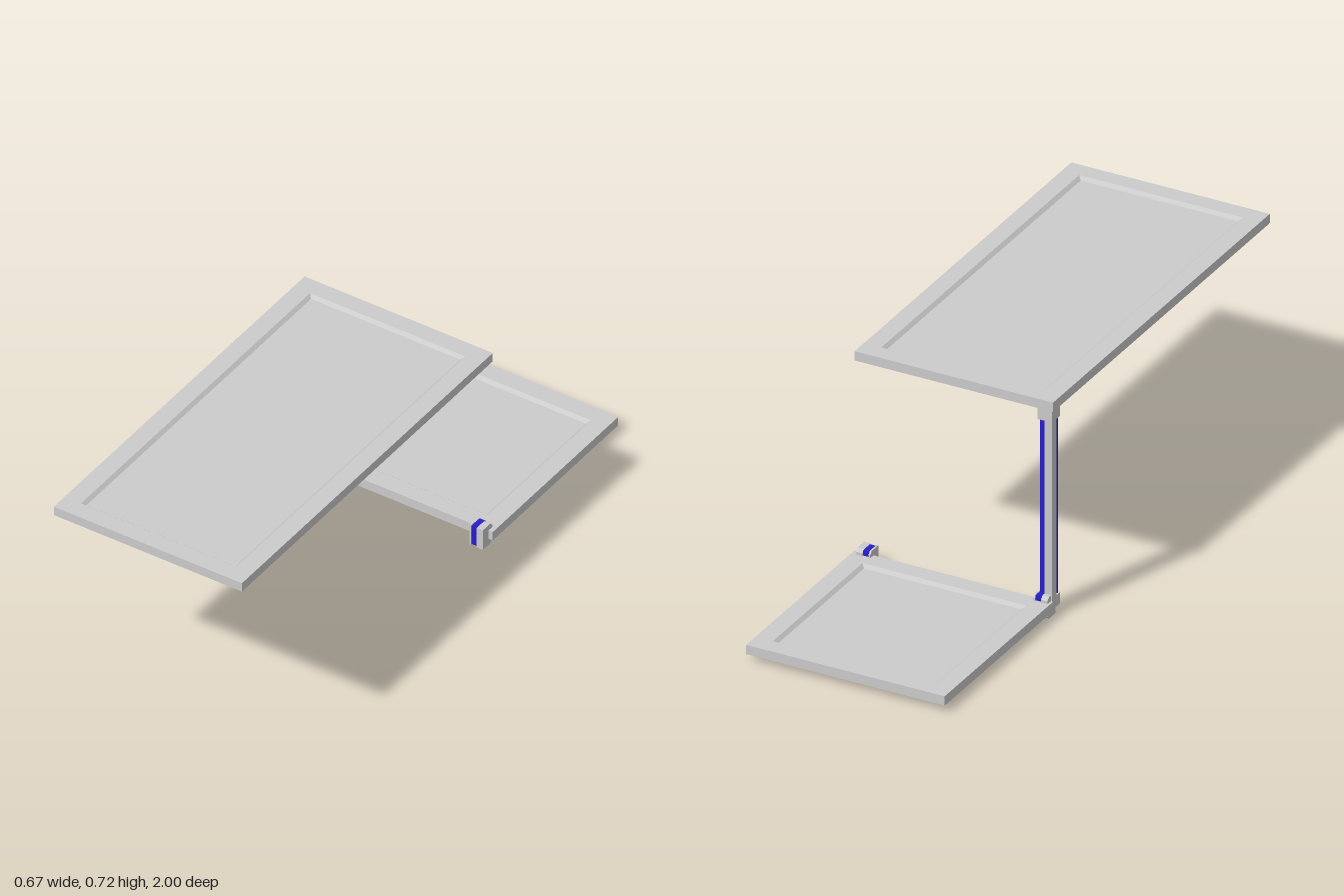
import * as THREE from 'three';

const grey = new THREE.MeshStandardMaterial({ color: 0xcccccc });
const blue = new THREE.MeshStandardMaterial({ color: 0x281ec8 });

// Box given by its low and high corners.
function box(name, [x0, y0, z0], [x1, y1, z1], material = grey) {
  const mesh = new THREE.Mesh(new THREE.BoxGeometry(x1 - x0, y1 - y0, z1 - z0), material);
  mesh.name = name;
  mesh.position.set((x0 + x1) / 2, (y0 + y1) / 2, (z0 + z1) / 2);
  return mesh;
}

// Slab with a shallow, slope-sided recess in its top and underside.
function panel(name, z0, z1, y0, y1) {
  const halfWidth = 0.333, rim = 0.058, slope = 0.011, depth = 0.01;
  const ring = (inset, y) => [
    [-halfWidth + inset, y, z1 - inset], [halfWidth - inset, y, z1 - inset],
    [halfWidth - inset, y, z0 + inset], [-halfWidth + inset, y, z0 + inset],
  ];
  // Rings run from the underside floor, around the outer edge, to the top floor.
  const rings = [
    ring(rim + slope, y0 + depth), ring(rim, y0), ring(0, y0),
    ring(0, y1), ring(rim, y1), ring(rim + slope, y1 - depth),
  ];
  const positions = [];
  const quad = (a, b, c, d) => [a, b, c, a, c, d].forEach((p) => positions.push(...p));
  for (let r = 0; r < rings.length - 1; r++) {
    for (let i = 0; i < 4; i++) {
      const j = (i + 1) % 4;
      quad(rings[r][i], rings[r][j], rings[r + 1][j], rings[r + 1][i]);
    }
  }
  quad(...rings[5]);
  quad(...[...rings[0]].reverse());
  const geometry = new THREE.BufferGeometry();
  geometry.setAttribute('position', new THREE.Float32BufferAttribute(positions, 3));
  geometry.computeVertexNormals();
  const mesh = new THREE.Mesh(geometry, grey);
  mesh.name = name;
  return mesh;
}

// Upright plate with chamfered rear corners, spanning x0 to x1.
function bracketPlate(name, x0, x1) {
  const front = -0.303, back = -0.353, top = 0.072, cut = 0.01;
  const shape = new THREE.Shape([
    [-front, 0], [-back - cut, 0], [-back, cut],
    [-back, top - cut], [-back - cut, top], [-front, top],
  ].map(([u, v]) => new THREE.Vector2(u, v)));
  const geometry = new THREE.ExtrudeGeometry(shape, { depth: x1 - x0, bevelEnabled: false });
  geometry.rotateY(Math.PI / 2);
  geometry.translate(x0, 0, 0);
  const mesh = new THREE.Mesh(geometry, grey);
  mesh.name = name;
  return mesh;
}

// Bracket gripping the lower panel: thin plate, coloured insert, thick plate.
function bracket(name, side, inner) {
  const group = new THREE.Group();
  group.name = name;
  const span = (a, b) => [side * (inner + a), side * (inner + b)].sort((p, q) => p - q);
  const [i0, i1] = span(0.006, 0.026);
  group.add(
    bracketPlate('innerPlate', ...span(0, 0.006)),
    box('bracketInsert', [i0, 0.003, -0.349], [i1, 0.07, -0.305], blue),
    bracketPlate('outerPlate', ...span(0.026, 0.048)),
  );
  return group;
}

// Post: square end blocks, two diagonal grey bars and two inset coloured bars.
function post() {
  const group = new THREE.Group();
  group.name = 'post';
  const x0 = -0.328, x1 = -0.279, z0 = -0.33, z1 = -0.28;
  const xm = -0.303, zm = -0.303, low = 0.06, high = 0.65, inset = 0.005;
  group.add(
    box('postFoot', [x0, 0.022, z0], [x1, low, z1]),
    box('postHead', [x0, high, z0], [x1, 0.689, z1]),
    box('frontBar', [xm, low, zm], [x1, high, z1]),
    box('rearBar', [x0, low, z0], [xm, high, zm]),
    box('frontInsert', [x0 + inset, low, zm], [xm, high, z1 - inset], blue),
    box('rearInsert', [xm, low, z0 + inset], [x1 - inset, high, zm], blue),
  );
  return group;
}

export function createModel() {
  const model = new THREE.Group();
  model.name = 'twoLevelPlatform';
  model.add(
    panel('upperPanel', -0.333, 1, 0.689, 0.72),
    panel('lowerPanel', -1, -0.333, 0.022, 0.053),
    post(),
    bracket('leftBracket', 1, 0.27),
    bracket('rightBracket', -1, 0.277),
  );
  return model;
}
